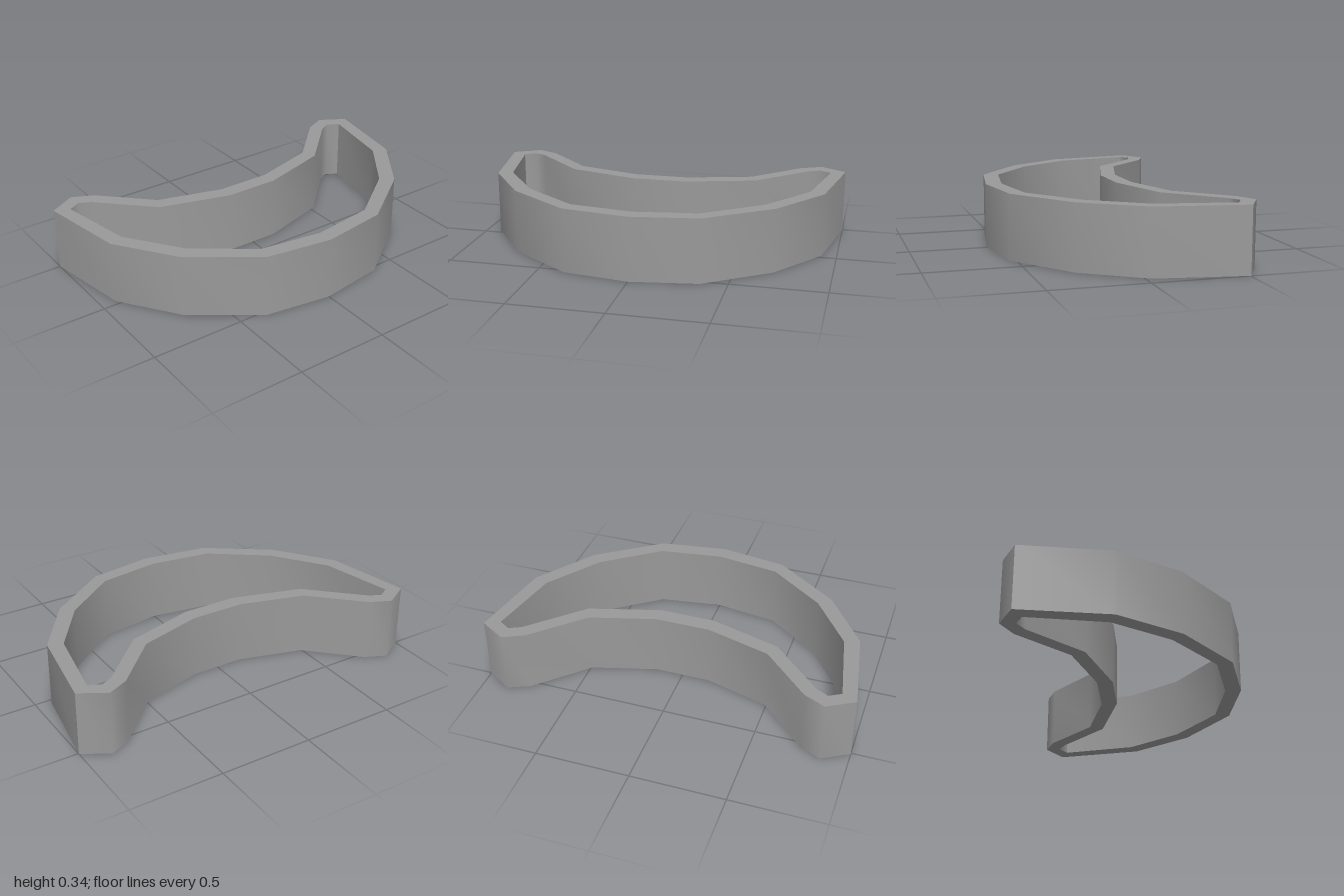
import * as THREE from 'three';
import { toCreasedNormals } from 'three/addons/utils/BufferGeometryUtils.js';

const HEIGHT = 0.345;

// Half outlines as [x, z] from the convex side, round the horn, to the hollow side
const OUTER = [[0.585, 0], [0.53, 0.36], [0.285, 0.7], [-0.03, 0.92], [-0.505, 1],
  [-0.587, 0.86], [-0.535, 0.747], [-0.284, 0.493], [-0.185, 0.147]];
const INNER = [[0.5, 0], [0.45, 0.34], [0.228, 0.638], [-0.06, 0.842], [-0.468, 0.92],
  [-0.505, 0.857], [-0.473, 0.793], [-0.21, 0.525], [-0.1, 0.147]];

// Close a half outline by mirroring it across z = 0
function mirrored(half) {
  const other = half.slice(1).reverse().map(([x, z]) => [x, -z]);
  return [...half, ...other].map(([x, z]) => new THREE.Vector2(x, z));
}

export function createModel() {
  const group = new THREE.Group();
  group.name = 'crescentCutter';

  const grey = new THREE.MeshStandardMaterial({ color: 0x999999 });
  grey.name = 'grey';

  // Crescent wall, open at the top and bottom
  const shape = new THREE.Shape(mirrored(OUTER));
  shape.holes.push(new THREE.Path(mirrored(INNER)));
  let geometry = new THREE.ExtrudeGeometry(shape, { depth: HEIGHT, bevelEnabled: false });
  geometry.rotateX(-Math.PI / 2);

  // Smooth round the curve, sharp at the rims and horn tips
  geometry = toCreasedNormals(geometry, THREE.MathUtils.degToRad(62));

  const wall = new THREE.Mesh(geometry, grey);
  wall.name = 'crescentWall';
  group.add(wall);
  return group;
}
